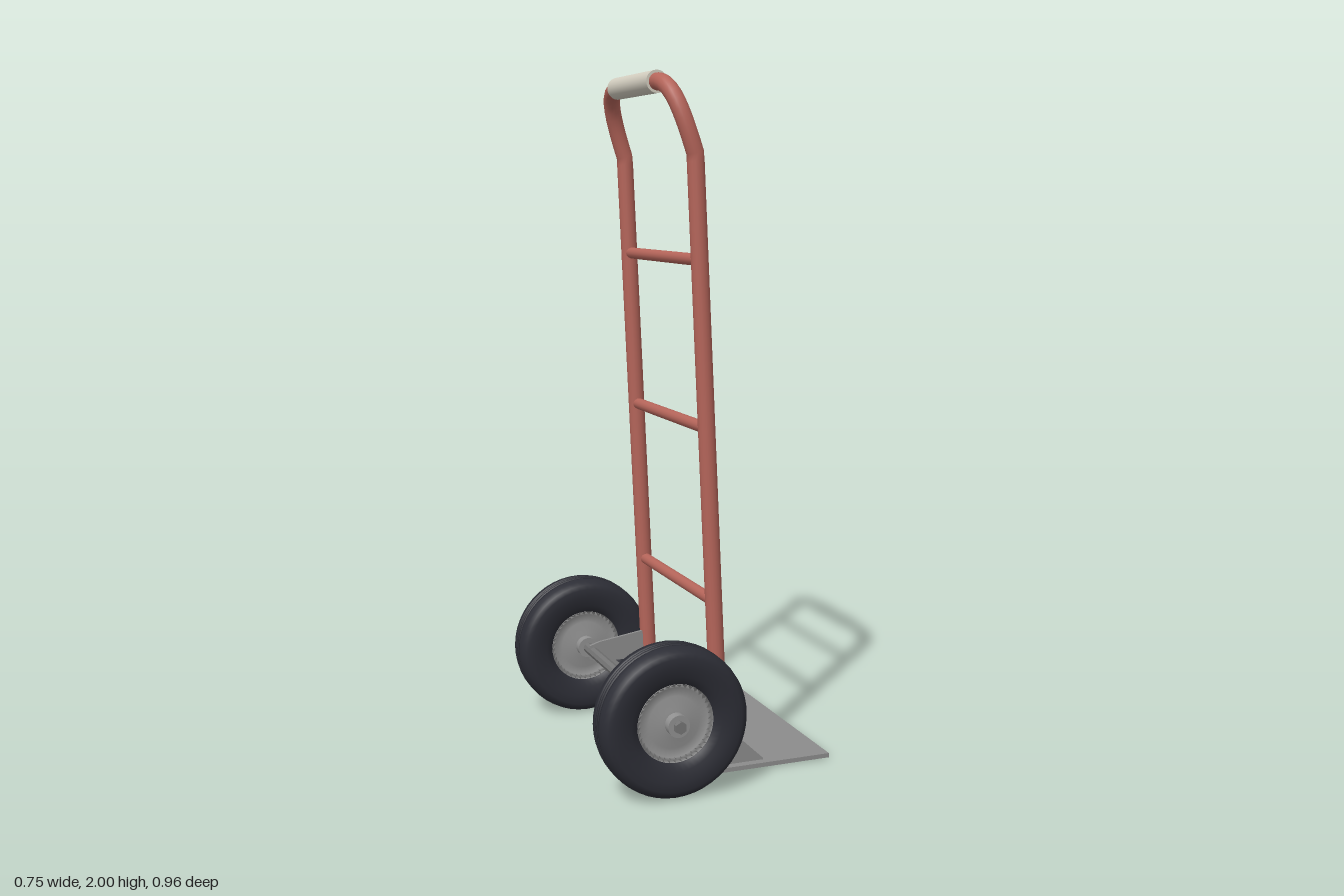
import * as THREE from 'three';

const V = (x, y, z) => new THREE.Vector3(x, y, z);
const mat = (name, color, extra = {}) => {
  const m = new THREE.MeshStandardMaterial({ color, ...extra });
  m.name = name;
  return m;
};

export function createModel() {
  const root = new THREE.Group();
  root.name = 'handTruck';
  const red = mat('red paint', 0xb5655a);
  const cream = mat('cream grip', 0xd2cdbf);
  const rubber = mat('black rubber', 0x2c2d35);
  const hubGrey = mat('hub grey', 0x929292);
  const steel = mat('plate steel', 0x8c8c8c);
  const darkSteel = mat('axle steel', 0x757575, { flatShading: true });

  const add = (name, geo, material, parent = root) => {
    const m = new THREE.Mesh(geo, material);
    m.name = name;
    parent.add(m);
    return m;
  };
  // Solid round bar between two points
  const rod = (name, a, b, r, material, sides = 16, parent = root) => {
    const m = add(name, new THREE.CylinderGeometry(r, r, a.distanceTo(b), sides), material, parent);
    m.position.copy(a).add(b).multiplyScalar(0.5);
    m.quaternion.setFromUnitVectors(V(0, 1, 0), b.clone().sub(a).normalize());
    return m;
  };
  // Flat plate drawn in the x-y plane, centred on depth z
  const plate = (name, pts, z, t, material) => {
    const s = new THREE.Shape(pts.map(p => new THREE.Vector2(...p)));
    const g = new THREE.ExtrudeGeometry(s, { depth: t, bevelEnabled: false });
    g.translate(0, 0, z - t / 2);
    return add(name, g, material);
  };

  // One bent tube: up a rail, around the handle and down the other rail
  const railZ = 0.287;
  const railX = y => 0.037 - 0.082 * (y - 0.025) / 1.745;
  const foot = s => V(railX(0.025), 0.025, s * railZ);
  const knee = s => V(-0.045, 1.77, s * railZ);
  const bendA = s => V(-0.088, 1.9, s * railZ);
  const bendB = s => V(-0.11, 1.968, s * 0.262);
  const top = s => V(-0.11, 1.968, s * 0.16);
  const path = new THREE.CurvePath();
  path.add(new THREE.LineCurve3(foot(1), knee(1)));
  path.add(new THREE.CubicBezierCurve3(knee(1), bendA(1), bendB(1), top(1)));
  path.add(new THREE.LineCurve3(top(1), top(-1)));
  path.add(new THREE.CubicBezierCurve3(top(-1), bendB(-1), bendA(-1), knee(-1)));
  path.add(new THREE.LineCurve3(knee(-1), foot(-1)));
  add('frameTube', new THREE.TubeGeometry(path, 180, 0.0245, 16), red);
  rod('handleGrip', V(-0.11, 1.968, -0.165), V(-0.11, 1.968, 0.165), 0.032, cream, 20);

  // Cross rungs
  for (const y of [0.51, 1.01, 1.48]) {
    rod('rung', V(railX(y), y, -railZ), V(railX(y), y, railZ), 0.017, red);
  }

  // Toe plate with its rear lip
  const toe = add('toePlate', new THREE.BoxGeometry(0.345, 0.013, 0.634), steel);
  toe.position.set(0.2025, 0.0115, 0);
  const lip = add('toePlateLip', new THREE.BoxGeometry(0.022, 0.02, 0.62), steel);
  lip.position.set(0.042, 0.027, 0);

  // Axle
  const ax = -0.161, ay = 0.218;
  rod('axle', V(ax, ay, -0.465), V(ax, ay, 0.465), 0.0165, darkSteel, 8);

  // Tyre profile (radius, width) with three tread grooves
  const tyrePts = [
    [0.105, -0.028], [0.115, -0.044], [0.135, -0.055], [0.165, -0.062], [0.19, -0.062],
    [0.203, -0.055], [0.213, -0.042], [0.2165, -0.022], [0.2165, -0.016], [0.207, -0.013],
    [0.2165, -0.010], [0.217, -0.003], [0.207, 0], [0.217, 0.003], [0.2165, 0.010],
    [0.207, 0.013], [0.2165, 0.016], [0.2165, 0.022], [0.213, 0.042], [0.203, 0.055],
    [0.19, 0.062], [0.165, 0.062], [0.135, 0.055], [0.115, 0.044], [0.105, 0.028],
  ].map(p => new THREE.Vector2(...p));
  // Dished hub profile
  const hubPts = [
    [0, -0.04], [0.04, -0.04], [0.075, -0.028], [0.1, -0.032], [0.112, -0.042],
    [0.112, 0.042], [0.1, 0.032], [0.075, 0.028], [0.04, 0.04], [0, 0.04],
  ].map(p => new THREE.Vector2(...p));

  for (const s of [1, -1]) {
    const side = s > 0 ? 'left' : 'right';
    // Wheel
    const wheel = new THREE.Group();
    wheel.name = side + 'Wheel';
    wheel.position.set(ax, ay, s * 0.397);
    wheel.rotation.x = s * Math.PI / 2;
    root.add(wheel);
    add('tyre', new THREE.LatheGeometry(tyrePts, 48), rubber, wheel);
    add('hub', new THREE.LatheGeometry(hubPts, 40), hubGrey, wheel);
    add('hubSleeve', new THREE.CylinderGeometry(0.032, 0.032, 0.134, 20), hubGrey, wheel);
    const nut = add('axleNut', new THREE.CylinderGeometry(0.018, 0.018, 0.018, 6), darkSteel, wheel);
    nut.position.y = 0.073;

    // Tube end cap
    const f = foot(s);
    rod(side + 'TubeCap', f, V(railX(0.05), 0.05, f.z), 0.0243, red);

    // Toe gusset in front of the rail
    plate(side + 'ToeGusset', [[0.04, 0.016], [0.172, 0.016], [0.172, 0.022], [0.052, 0.135], [0.035, 0.135]],
      s * 0.287, 0.009, steel);

    // Axle bracket and brace behind the rail
    plate(side + 'AxleBracket', [[-0.172, 0.195], [-0.14, 0.185], [0.03, 0.185], [0.025, 0.275], [-0.14, 0.25], [-0.172, 0.24]],
      s * 0.28, 0.01, steel);
    plate(side + 'AxleBrace', [[-0.165, 0.2], [0.03, 0.04], [0.035, 0.085], [-0.12, 0.21]],
      s * 0.28, 0.01, steel);
  }
  return root;
}
